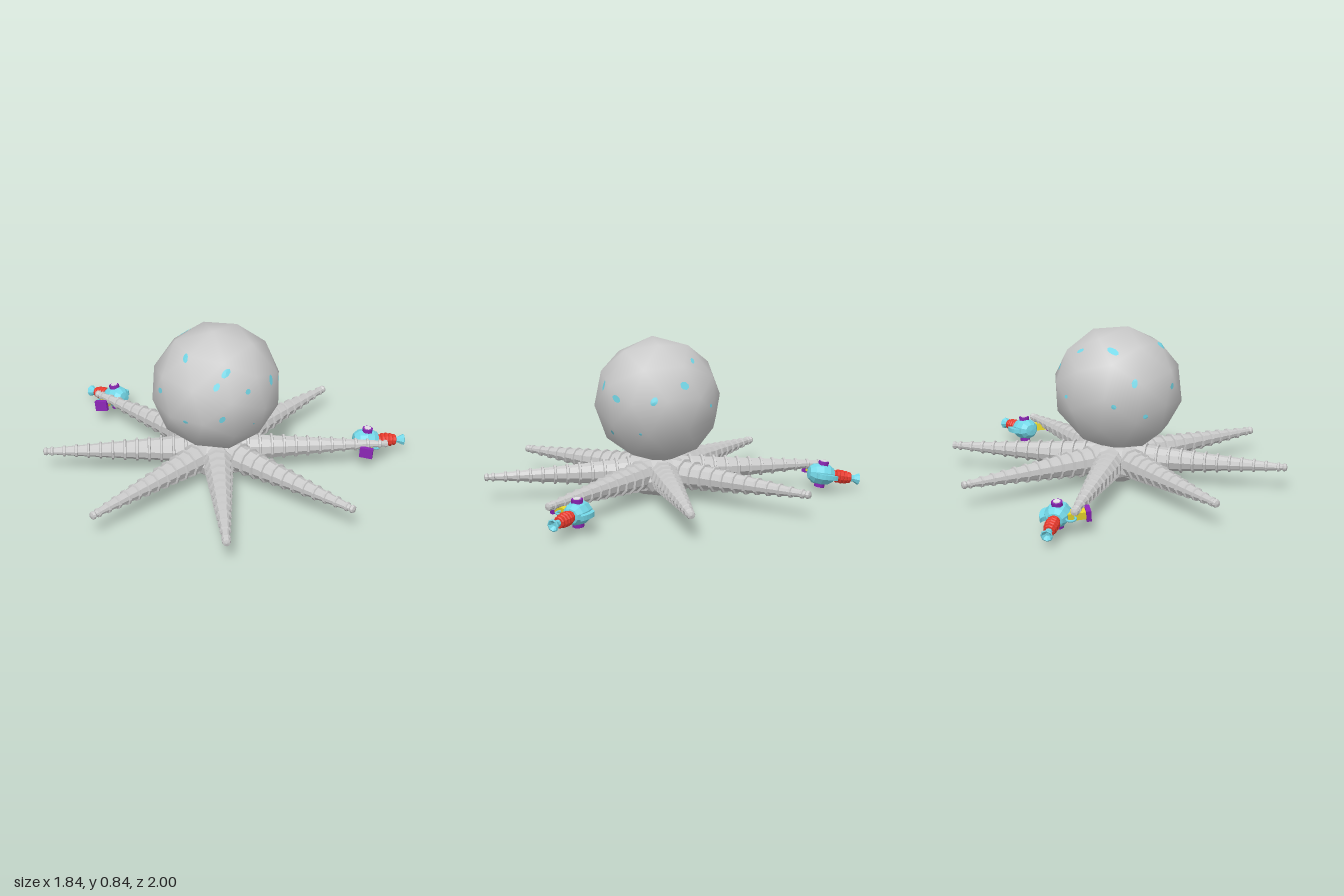
import * as THREE from 'three';

const paint = (name, color) => {
  const m = new THREE.MeshStandardMaterial({ color });
  m.name = name;
  return m;
};

// Faceted copy of a geometry
const flat = (g) => {
  const f = g.index ? g.toNonIndexed() : g;
  f.computeVertexNormals();
  return f;
};

const lathe = (pts, sides) =>
  flat(new THREE.LatheGeometry(pts.map(([r, y]) => new THREE.Vector2(r, y)), sides));

const UP = new THREE.Vector3(0, 1, 0);
const FRONT = new THREE.Vector3(0, 0, 1);
const CENTER_Z = 0.075;

export function createModel() {
  const grey = paint('grey metal', 0xcacaca);
  const cyan = paint('cyan', 0x74d8e8);
  const red = paint('red', 0xf23c2e);
  const purple = paint('purple', 0x8a26b4);
  const yellow = paint('yellow', 0xf2e230);
  const pale = paint('pale lilac', 0xe2dce6);

  const model = new THREE.Group();
  model.name = 'octopus';

  const add = (parent, name, geometry, material, x = 0, y = 0, z = 0) => {
    const mesh = new THREE.Mesh(geometry, material);
    mesh.name = name;
    mesh.position.set(x, y, z);
    parent.add(mesh);
    return mesh;
  };

  // Head: coarse smooth ball
  const headGeo = new THREE.IcosahedronGeometry(0.335, 1);
  headGeo.scale(1.04, 1, 1);
  const head = add(model, 'head', headGeo, grey, -0.01, 0.51, 0.08);
  head.rotation.set(0.06, 0, 0.15);
  head.updateMatrixWorld(true);

  // Head spots: direction from head centre, length, width, turn
  const spots = [
    [-0.16, 0.2, 0.21, 0.06, 0.034, 0.5], [-0.22, 0.14, 0.2, 0.045, 0.03, 0.8],
    [-0.09, 0.1, 0.3, 0.032, 0.03, 0], [0.09, 0.1, 0.3, 0.058, 0.03, 1.5],
    [0.21, 0.05, 0.25, 0.058, 0.036, -0.3], [0.32, 0.05, 0.07, 0.05, 0.036, 1.2],
    [-0.22, -0.03, 0.24, 0.042, 0.03, 1], [0.14, -0.14, 0.26, 0.034, 0.022, 1],
    [0.01, -0.27, 0.19, 0.03, 0.02, 0], [-0.05, -0.1, 0.31, 0.014, 0.01, 0],
    [0.29, 0.12, -0.09, 0.05, 0.042, 0], [0.16, 0.22, -0.15, 0.045, 0.025, -0.9],
    [0.22, 0, -0.24, 0.025, 0.02, 0], [0.27, -0.12, 0.13, 0.02, 0.015, 0],
    [-0.02, 0.25, -0.21, 0.075, 0.038, -0.4], [-0.23, 0.24, 0, 0.055, 0.032, 1.3],
    [-0.15, 0.1, -0.28, 0.05, 0.03, 0.2], [-0.05, -0.02, -0.33, 0.03, 0.025, 0],
    [-0.2, -0.08, -0.25, 0.03, 0.025, 0.6], [-0.3, 0.05, -0.1, 0.04, 0.03, 0.3],
    [-0.32, -0.06, 0.08, 0.03, 0.02, 0],
  ];
  const ray = new THREE.Raycaster();
  for (const [x, y, z, length, width, turn] of spots) {
    const dir = new THREE.Vector3(x, y, z).normalize();
    const g = new THREE.RingGeometry(0.0001, 0.5, 8, 4);
    g.scale(length, width, 1).rotateZ(turn);
    g.applyQuaternion(new THREE.Quaternion().setFromUnitVectors(FRONT, dir));
    // Drape the patch over the head's facets
    const pos = g.attributes.position;
    for (let i = 0; i < pos.count; i++) {
      const p = new THREE.Vector3().fromBufferAttribute(pos, i).add(head.position);
      ray.set(p.addScaledVector(dir, 1), dir.clone().negate());
      p.copy(ray.intersectObject(head)[0].point).addScaledVector(dir, 0.003);
      pos.setXYZ(i, p.x, p.y, p.z);
    }
    g.computeVertexNormals();
    add(model, 'headSpot', g, cyan);
  }

  // Body: flattened faceted ball under the head
  const bodyGeo = new THREE.IcosahedronGeometry(1, 1);
  bodyGeo.scale(0.2, 0.11, 0.2);
  add(model, 'body', flat(bodyGeo), grey, 0, 0.11, CENTER_Z);

  // Tentacle: tapering segments split by raised rings, with a round tip
  const rings = 12;
  const profile = [[0, 0.08], [0.076, 0.08]];
  for (let i = 0; i < rings; i++) {
    const y = 0.165 + i * 0.0645;
    const r = THREE.MathUtils.lerp(0.071, 0.018, i / (rings - 1));
    const lip = THREE.MathUtils.lerp(0.012, 0.006, i / (rings - 1));
    profile.push([r, y - 0.008], [r + lip, y - 0.005], [r + lip, y + 0.005], [r, y + 0.008]);
  }
  profile.push([0.015, 0.895], [0.022, 0.905], [0.018, 0.917], [0, 0.922]);
  const tentacleGeo = lathe(profile, 10);
  for (let i = 0; i < 8; i++) {
    const a = (i * Math.PI) / 4;
    const t = add(model, 'tentacle', tentacleGeo, grey, 0, 0.13, CENTER_Z);
    t.quaternion.setFromUnitVectors(UP, new THREE.Vector3(Math.cos(a), 0, Math.sin(a)));
  }

  // Ray gun: muzzle along +x, fin on +y, grip on -y
  const makeGun = (position, forward, up) => {
    const gun = new THREE.Group();
    gun.name = 'rayGun';

    const shell = lathe(
      [[0, -0.074], [0.036, -0.07], [0.058, -0.045], [0.066, -0.005], [0.06, 0.035], [0.042, 0.062], [0, 0.07]], 10);
    shell.rotateZ(-Math.PI / 2).scale(1, 1, 0.9);
    add(gun, 'gunBody', flat(shell), cyan);

    // Round caps on both sides
    for (const s of [-1, 1]) {
      const cap = add(gun, 'sideCap', new THREE.CylinderGeometry(0.029, 0.029, 0.02, 8), purple, 0, 0, s * 0.06);
      const stud = add(gun, 'sideStud', new THREE.CylinderGeometry(0.019, 0.019, 0.02, 8), pale, 0, 0, s * 0.064);
      cap.rotation.x = stud.rotation.x = Math.PI / 2;
    }

    // Ribbed barrel and flared muzzle
    const ribs = [[0, 0.04]];
    for (const [i, r] of [0.03, 0.036, 0.037, 0.035, 0.03].entries()) {
      const y = 0.058 + i * 0.021;
      ribs.push([r * 0.86, y], [r, y + 0.005], [r, y + 0.016], [r * 0.86, y + 0.02]);
    }
    ribs.push([0, 0.165]);
    const barrel = add(gun, 'barrel', lathe(ribs, 10), red);
    const muzzle = add(gun, 'muzzle', lathe(
      [[0, 0.155], [0.017, 0.16], [0.018, 0.18], [0.032, 0.207], [0.026, 0.21], [0.01, 0.19], [0, 0.19]], 8), cyan);
    barrel.rotation.z = muzzle.rotation.z = -Math.PI / 2;

    // Curved fin
    const finShape = new THREE.Shape();
    finShape.moveTo(-0.04, 0.045);
    finShape.quadraticCurveTo(-0.045, 0.085, 0.0, 0.086);
    finShape.quadraticCurveTo(0.045, 0.086, 0.075, 0.066);
    finShape.quadraticCurveTo(0.05, 0.062, 0.04, 0.03);
    const finGeo = new THREE.ExtrudeGeometry(finShape, { depth: 0.024, bevelEnabled: false, curveSegments: 4 });
    add(gun, 'fin', finGeo, cyan, 0, 0, -0.012);

    // Slanted grip with end plate
    const grip = add(gun, 'grip', new THREE.BoxGeometry(0.052, 0.09, 0.038), yellow, -0.012, -0.09, 0);
    const plate = add(gun, 'gripPlate', new THREE.BoxGeometry(0.07, 0.024, 0.056), purple, -0.032, -0.143, 0);
    grip.rotation.z = plate.rotation.z = -0.4;

    // Trigger guard around the tentacle tip
    add(gun, 'triggerGuard', new THREE.TorusGeometry(0.024, 0.006, 6, 12), cyan, 0.034, -0.075, 0);

    const x = new THREE.Vector3(...forward).normalize();
    const z = x.clone().cross(new THREE.Vector3(...up)).normalize();
    const y = z.clone().cross(x);
    gun.quaternion.setFromRotationMatrix(new THREE.Matrix4().makeBasis(x, y, z));
    gun.position.set(...position);
    model.add(gun);
  };
  makeGun([0.096, 0.095, -0.79], [0, -0.18, -1], [1, 0, 0]);
  makeGun([0.655, 0.097, 0.58], [0.76, -0.07, 0.65], [0.65, 0, -0.76]);

  return model;
}
